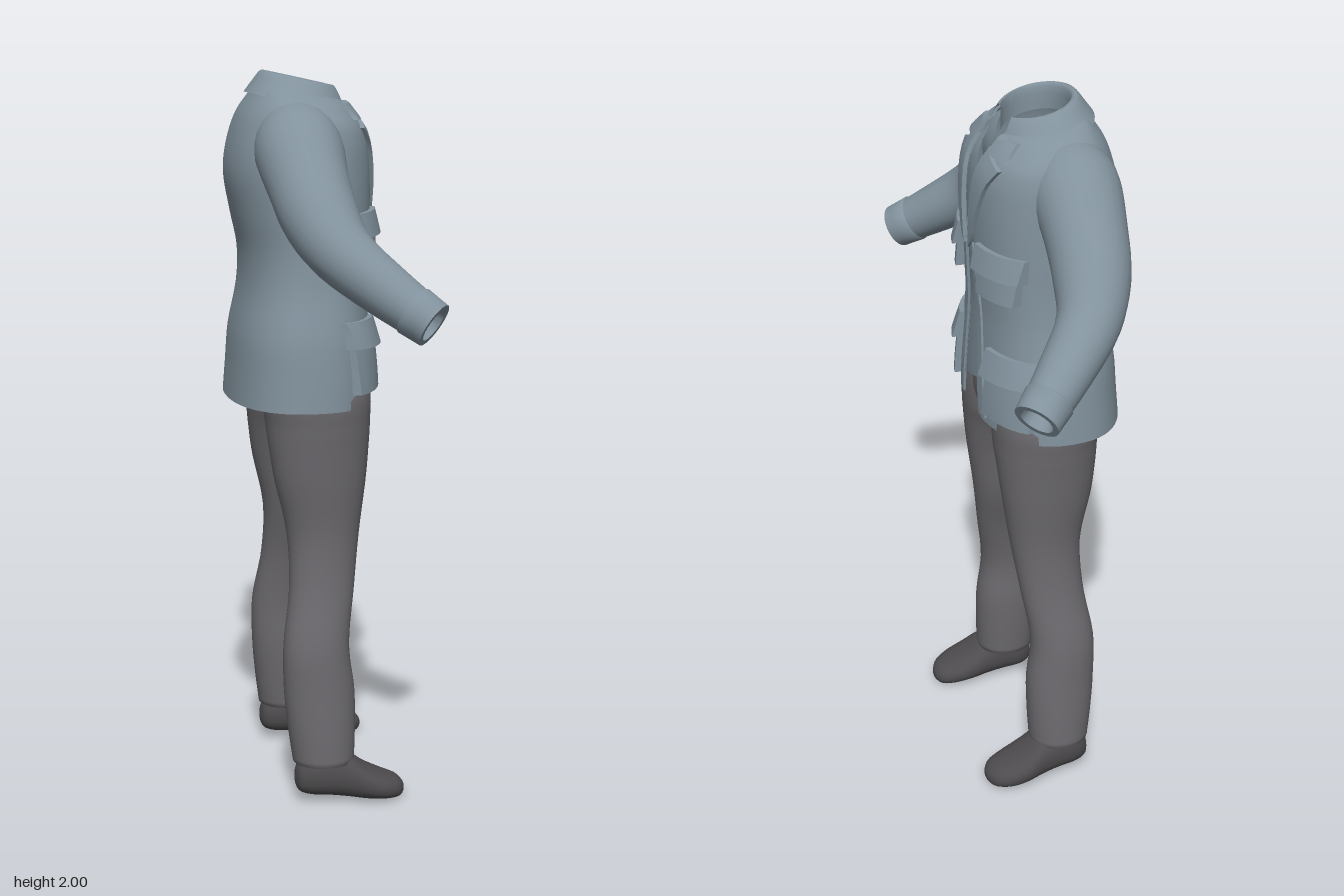
import * as THREE from 'three';
import { toCreasedNormals } from 'three/addons/utils/BufferGeometryUtils.js';

const TAU = Math.PI * 2;
const V = (x, y, z) => new THREE.Vector3(x, y, z);
const spow = (v, e) => Math.sign(v) * Math.pow(Math.abs(v), e);

// Catmull-Rom sample of key rows at parameter t in 0..1
function sample(keys, t) {
  const s = Math.min(Math.max(t, 0), 1) * (keys.length - 1);
  const i = Math.min(Math.floor(s), keys.length - 2), f = s - i;
  const k = j => keys[Math.min(Math.max(j, 0), keys.length - 1)];
  const [a, b, c, d] = [k(i - 1), k(i), k(i + 1), k(i + 2)];
  return b.map((_, n) => b[n] + 0.5 * f * (c[n] - a[n] + f * (2 * a[n] - 5 * b[n] + 4 * c[n] - d[n]
    + f * (3 * (b[n] - c[n]) + d[n] - a[n]))));
}
const samples = (keys, n) => Array.from({ length: n + 1 }, (_, i) => sample(keys, i / n));

// Skin over rows of points
function skin(name, rows, closed, material, crease) {
  const n = rows[0].length, pos = [], idx = [];
  rows.forEach(r => r.forEach(p => pos.push(p.x, p.y, p.z)));
  for (let i = 0; i < rows.length - 1; i++) {
    for (let j = 0; j < (closed ? n : n - 1); j++) {
      const a = i * n + j, b = i * n + (j + 1) % n, c = a + n, d = b + n;
      idx.push(a, c, b, b, c, d);
    }
  }
  let g = new THREE.BufferGeometry();
  g.setAttribute('position', new THREE.Float32BufferAttribute(pos, 3));
  g.setIndex(idx);
  g.computeVertexNormals();
  if (crease) g = toCreasedNormals(g, crease);
  const mesh = new THREE.Mesh(g, material);
  mesh.name = name;
  return mesh;
}

// Horizontal ring between back/front x and inner/outer z
function ring(y, back, front, inner, outer, n = 28, e = 0.95) {
  return Array.from({ length: n }, (_, j) => {
    const t = j / n * TAU;
    return V((back + front) / 2 + (front - back) / 2 * spow(Math.cos(t), e), y,
      (inner + outer) / 2 + (outer - inner) / 2 * spow(Math.sin(t), e));
  });
}

// Jacket body sections: y, back x, front x, half width, half opening
const E = 0.85;
const BODY = [
  [1.11, -0.235, 0.155, 0.292, 0.07], [1.20, -0.228, 0.155, 0.286, 0.058], [1.30, -0.22, 0.15, 0.276, 0.045],
  [1.42, -0.197, 0.145, 0.25, 0.035], [1.52, -0.195, 0.15, 0.24, 0.026], [1.62, -0.215, 0.155, 0.24, 0.018],
  [1.72, -0.232, 0.155, 0.24, 0.022], [1.80, -0.225, 0.148, 0.236, 0.03], [1.88, -0.2, 0.135, 0.222, 0.042],
  [1.93, -0.168, 0.115, 0.19, 0.05], [1.96, -0.145, 0.09, 0.145, 0.055], [1.972, -0.12, 0.07, 0.11, 0.055],
];
// The neckline drops toward the front
const tilt = (x, y) => y - 0.22 * Math.max(0, x + 0.13) * THREE.MathUtils.clamp((y - 1.8) / 0.13, 0, 1);

function bodyAt(y) {
  let i = 0;
  while (i < BODY.length - 2 && BODY[i + 1][0] < y) i++;
  const f = (y - BODY[i][0]) / (BODY[i + 1][0] - BODY[i][0]);
  return sample(BODY, (i + f) / (BODY.length - 1));
}
// Point on the jacket front, lifted by off
function onFront(z, y, off) {
  const [, b, f, hz] = bodyAt(y);
  const s = Math.pow(Math.min(Math.abs(z) / hz, 0.995), 1 / E);
  const x = (b + f) / 2 + (f - b) / 2 * Math.pow(Math.sqrt(1 - s * s), E);
  return V(x + off, tilt(x, y), z * (1 + off));
}
// Raised patch with four corners given as [z, y]: top inner, top outer, bottom outer, bottom inner
function panel(name, corners, off, material, lowOff = off) {
  const [a, b, c, d] = corners, n = 8, rows = [];
  for (let i = -1; i <= n + 1; i++) {
    const row = [], v = Math.min(Math.max(i / n, 0), 1);
    for (let j = -1; j <= n + 1; j++) {
      const u = Math.min(Math.max(j / n, 0), 1);
      const edge = i < 0 || j < 0 || i > n || j > n;
      const mix = k => (a[k] * (1 - u) + b[k] * u) * (1 - v) + (d[k] * (1 - u) + c[k] * u) * v;
      row.push(onFront(mix(0), mix(1), edge ? -0.002 : off + (lowOff - off) * v));
    }
    rows.push(row);
  }
  return skin(name, rows, false, material, 0.7);
}

function jacketBody(mat) {
  const rows = samples(BODY, 44).map(([y, b, f, hz, gap]) => {
    const a0 = Math.asin(Math.pow(gap / hz, 1 / E));
    return Array.from({ length: 57 }, (_, j) => {
      const t = a0 + (TAU - 2 * a0) * j / 56;
      const x = (b + f) / 2 + (f - b) / 2 * spow(Math.cos(t), E);
      return V(x, tilt(x, y), hz * spow(Math.sin(t), E));
    });
  });
  return skin('jacketBody', rows, false, mat);
}

function collar(mat) {
  // y, centre x, x radius, z radius, opening angle
  const keys = [[1.932, -0.038, 0.14, 0.172, 0.4], [1.965, -0.035, 0.122, 0.142, 0.45], [1.998, -0.032, 0.102, 0.112, 0.5],
    [1.992, -0.028, 0.09, 0.1, 0.5], [1.93, -0.028, 0.09, 0.1, 0.5]];
  const rows = samples(keys, 12).map(([y, cx, rx, rz, a]) => Array.from({ length: 41 }, (_, j) => {
    const t = a + (TAU - 2 * a) * j / 40, x = cx + rx * Math.cos(t);
    return V(x, y - 0.22 * (x + 0.13), rz * Math.sin(t));
  }));
  return skin('collar', rows, false, mat, 0.9);
}

function sleeve(mat) {
  // x, y, z, radius along the arm
  const arm = [[-0.07, 1.83, 0.13, 0.105], [-0.07, 1.795, 0.19, 0.118], [-0.065, 1.72, 0.28, 0.108],
    [-0.05, 1.635, 0.37, 0.1], [-0.01, 1.555, 0.455, 0.083], [0.085, 1.47, 0.54, 0.07], [0.183, 1.395, 0.617, 0.057]];
  const N = 30, ringAt = (t, k = 1) => {
    const p = sample(arm, t), q = sample(arm, Math.min(t + 0.02, 1)), o = sample(arm, Math.max(t - 0.02, 0));
    const dir = V(q[0] - o[0], q[1] - o[1], q[2] - o[2]).normalize();
    const u = dir.clone().cross(V(0, 1, 0)).normalize(), v = u.clone().cross(dir);
    return Array.from({ length: 24 }, (_, j) => V(p[0], p[1], p[2])
      .addScaledVector(u, p[3] * k * Math.cos(j / 24 * TAU)).addScaledVector(v, p[3] * k * Math.sin(j / 24 * TAU)));
  };
  const rows = Array.from({ length: N + 1 }, (_, i) => ringAt(i / N));
  const g = new THREE.Group();
  g.name = 'sleeve';
  g.add(skin('sleeveArm', rows, true, mat));
  // Cuff band turned in at the wrist
  const cuff = [[0.91, 1], [0.915, 1.06], [0.96, 1.07], [1, 1.08], [1, 0.8], [0.95, 0.62], [0.9, 0.5], [0.9, 0.001]];
  g.add(skin('cuff', cuff.map(([t, k]) => ringAt(t, k)), true, mat, 0.8));
  return g;
}

function shirtHalf(mat) {
  const rows = [];
  for (let i = 0; i <= 30; i++) {
    const row = [], y0 = 1.2 + 0.75 * i / 30, inner = Math.max(0, (y0 - 1.83) * 0.42);
    for (let j = 0; j <= 8; j++) {
      const z = inner + (0.115 - inner) * j / 8;
      row.push(onFront(z, y0 - 0.35 * z * (1 - i / 30), -0.013));
    }
    rows.push(row);
  }
  return skin('innerShirt', rows, false, mat);
}

function leg(mat) {
  // y, back x, front x, inner z, outer z
  const keys = [[0.12, -0.1, 0.07, 0.165, 0.327], [0.21, -0.112, 0.074, 0.158, 0.322], [0.32, -0.122, 0.074, 0.153, 0.312],
    [0.45, -0.122, 0.06, 0.155, 0.3], [0.6, -0.1, 0.08, 0.13, 0.266], [0.75, -0.1, 0.1, 0.083, 0.252],
    [0.9, -0.132, 0.12, 0.055, 0.264], [1.0, -0.146, 0.13, 0.025, 0.272], [1.06, -0.152, 0.135, -0.002, 0.277],
    [1.15, -0.16, 0.135, -0.01, 0.278], [1.3, -0.15, 0.11, -0.01, 0.23]];
  const rows = samples(keys, 44).map(k => ring(...k));
  rows.unshift(ring(0.2, -0.09, 0.06, 0.18, 0.31), ring(0.122, -0.093, 0.063, 0.172, 0.32));
  return skin('trouserLeg', rows, true, mat);
}

function hips(mat) {
  const keys = [[1.03, -0.05, 0.03, 0.03], [1.045, -0.105, 0.08, 0.09], [1.08, -0.14, 0.118, 0.18],
    [1.14, -0.157, 0.132, 0.268], [1.25, -0.16, 0.125, 0.255], [1.32, -0.15, 0.11, 0.23], [1.325, -0.02, -0.019, 0.001]];
  return skin('hips', samples(keys, 24).map(([y, b, f, hz]) => ring(y, b, f, -hz, hz, 36)), true, mat);
}

function shoe(mat) {
  // x, bottom, top, centre z, half width
  const keys = [[-0.097, 0.065, 0.075, 0.253, 0.004], [-0.088, 0.038, 0.11, 0.253, 0.036], [-0.055, 0.025, 0.14, 0.253, 0.056],
    [0, 0.02, 0.15, 0.256, 0.062], [0.05, 0.014, 0.138, 0.26, 0.066], [0.1, 0.008, 0.104, 0.264, 0.072],
    [0.15, 0.004, 0.078, 0.265, 0.068], [0.19, 0.004, 0.06, 0.262, 0.05], [0.208, 0.014, 0.042, 0.26, 0.022],
    [0.211, 0.027, 0.029, 0.26, 0.001]];
  const rows = samples(keys, 36).map(([x, lo, hi, cz, hz]) => Array.from({ length: 24 }, (_, j) => {
    const t = j / 24 * TAU;
    return V(x, (lo + hi) / 2 + (hi - lo) / 2 * spow(Math.cos(t), 0.85), cz - hz * spow(Math.sin(t), 0.85));
  }));
  return skin('shoe', rows, true, mat);
}

export function createModel() {
  const paint = (name, color) => {
    const m = new THREE.MeshStandardMaterial({ color, side: THREE.DoubleSide });
    m.name = name;
    return m;
  };
  const blue = paint('jacketBlueGrey', 0x82929d);
  const grey = paint('trouserGrey', 0x6b696d);
  const dark = paint('shoeDarkGrey', 0x4e4c4e);

  const model = new THREE.Group();
  model.name = 'outfit';
  model.add(jacketBody(blue), collar(blue), hips(grey));

  // Paired parts, built once and mirrored
  for (const side of [1, -1]) {
    const half = new THREE.Group();
    half.name = side > 0 ? 'sideNear' : 'sideFar';
    half.add(
      sleeve(blue), shirtHalf(blue), leg(grey), shoe(dark),
      panel('collarTip', [[0.06, 1.965], [0.125, 1.955], [0.145, 1.915], [0.06, 1.93]], 0.014, blue),
      panel('lapel', [[0.052, 1.94], [0.135, 1.885], [0.035, 1.62], [0.016, 1.6]], 0.012, blue),
      panel('placket', [[0.016, 1.62], [0.035, 1.62], [0.105, 1.125], [0.068, 1.125]], 0.006, blue),
      panel('chestPocket', [[0.08, 1.61], [0.21, 1.61], [0.205, 1.5], [0.085, 1.5]], 0.012, blue, 0.026),
      panel('chestPocketFlap', [[0.072, 1.635], [0.218, 1.63], [0.216, 1.565], [0.076, 1.57]], 0.014, blue, 0.032),
      panel('hipPocket', [[0.12, 1.32], [0.258, 1.32], [0.262, 1.15], [0.12, 1.155]], 0.014, blue, 0.022),
      panel('hipPocketFlap', [[0.112, 1.345], [0.258, 1.345], [0.264, 1.275], [0.112, 1.27]], 0.014, blue, 0.032),
    );
    half.scale.z = side;
    model.add(half);
  }
  return model;
}
